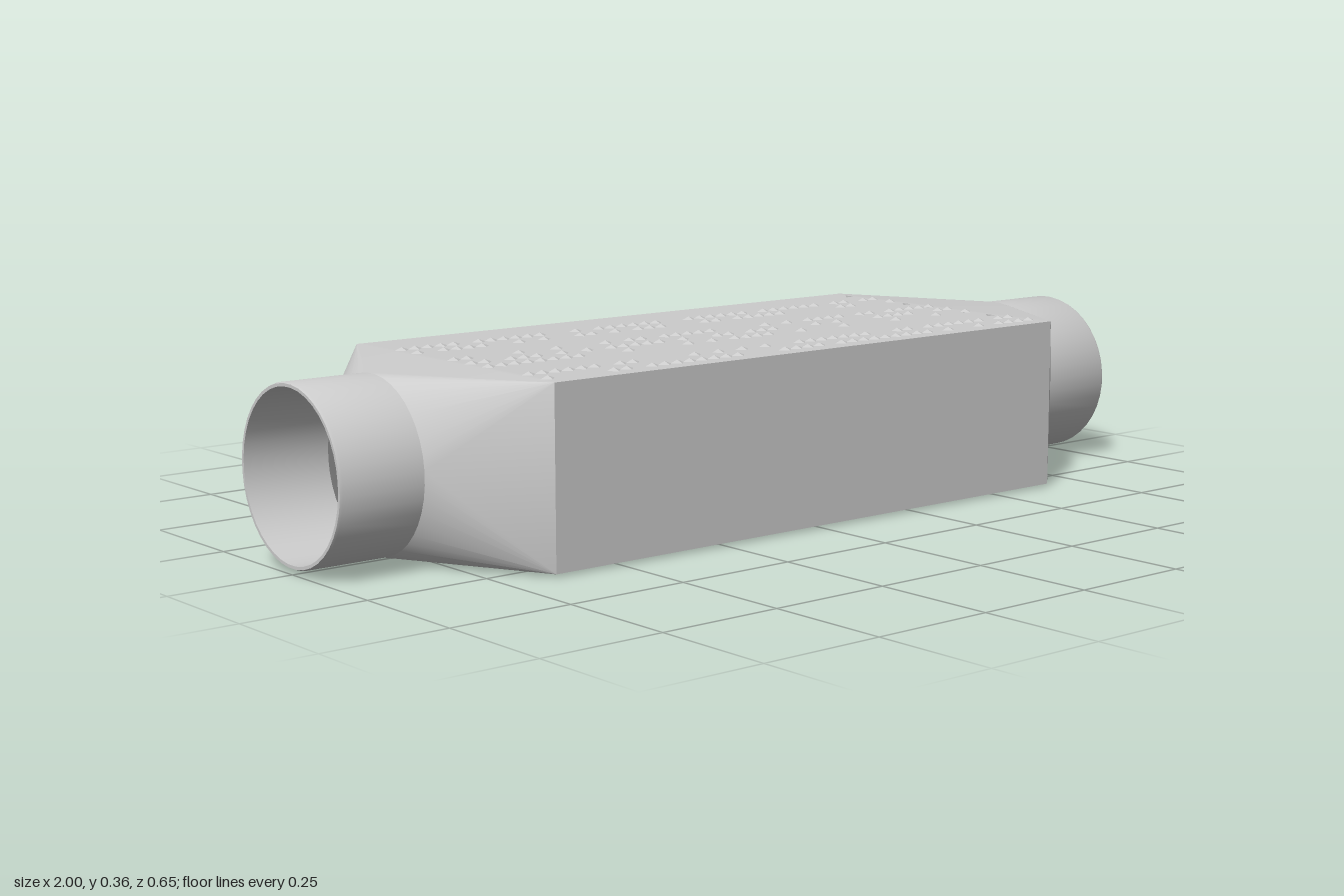
import * as THREE from 'three';
import { mergeGeometries, toCreasedNormals } from 'three/addons/utils/BufferGeometryUtils.js';

const CY = 0.18, HH = 0.174, HZ = 0.325, CORE = 0.635, BOX = 0.65, R = 0.171;
const GROOVES = [-0.275, -0.09, -0.018, 0.094, 0.165];
const BUMP_ROWS = [
  [-0.195, 0.75], [-0.14, 0.6], [-0.018, 0.5], [0.04, 0.6], [0.094, 0.4], [0.22, 0.65], [0.278, 0.7],
];

function seeded(seed) {
  return () => (seed = (seed * 16807) % 2147483647) / 2147483647;
}

// Quad strip between successive rings of equal length
function loft(rings) {
  const pos = [];
  for (let i = 0; i < rings.length - 1; i++) {
    const n = rings[i].length;
    for (let j = 0; j < n; j++) {
      const k = (j + 1) % n;
      const [a, b, c, d] = [rings[i][j], rings[i][k], rings[i + 1][k], rings[i + 1][j]];
      for (const t of [[a, b, c], [a, c, d]]) {
        const [p, q, r] = t;
        const area = new THREE.Vector3().subVectors(q, p).cross(new THREE.Vector3().subVectors(r, p)).length();
        if (area > 1e-7) t.forEach(v => pos.push(v.x, v.y, v.z));
      }
    }
  }
  const g = new THREE.BufferGeometry();
  g.setAttribute('position', new THREE.Float32BufferAttribute(pos, 3));
  return toCreasedNormals(g, 0.5);
}

// Rings around the x axis, first half step off the axes so each arc belongs to one corner
const N = 40;
const ring = fn => Array.from({ length: N }, (_, i) => {
  const t = ((i + 0.5) / N) * Math.PI * 2;
  return fn(Math.cos(t), Math.sin(t));
});
const rect = (x, s = 1) => ring((c, s2) =>
  new THREE.Vector3(x, CY + Math.sign(s2) * HH * s, -Math.sign(c) * HZ * s));
const circle = (x, r) => ring((c, s) => new THREE.Vector3(x, CY + s * r, -c * r));

export function createModel() {
  const group = new THREE.Group();
  const metal = new THREE.MeshStandardMaterial({ color: 0xcccccc });
  metal.name = 'brushed grey metal';
  metal.side = THREE.DoubleSide;
  const add = (geometry, name, parent = group) => {
    const m = new THREE.Mesh(geometry, metal);
    m.name = name;
    parent.add(m);
    return m;
  };

  // Box sleeve with lengthwise V grooves on top and underside
  const edge = (sign, rows) => rows.flatMap(z => [
    [z - sign * 0.014, CY + sign * HH],
    [z, CY + sign * (HH - 0.012)],
    [z + sign * 0.014, CY + sign * HH],
  ]);
  const rows = GROOVES.map(z => -z).sort((a, b) => a - b);
  const pts = [
    [-HZ, CY + HH], ...edge(1, rows), [HZ, CY + HH],
    [HZ, CY - HH], ...edge(-1, [...rows].reverse()), [-HZ, CY - HH],
  ];
  const profile = new THREE.Shape(pts.map(p => new THREE.Vector2(...p)));
  const iz = HZ - 0.02, iy = HH - 0.016;
  profile.holes.push(new THREE.Path(
    [[-iz, -iy], [iz, -iy], [iz, iy], [-iz, iy]].map(([a, b]) => new THREE.Vector2(a, CY + b))));
  const sleeve = new THREE.ExtrudeGeometry(profile, { depth: CORE * 2, bevelEnabled: false });
  sleeve.translate(0, 0, -CORE).rotateY(Math.PI / 2);
  add(sleeve, 'groovedSleeve');

  // Pleated inner core, as a plan outline raised to the inner height
  const pleats = [
    [0.6, 0.305], [0.63, 0.225], [0.57, 0.195], [0.62, 0.135], [0.63, 0.045], [0.55, 0.01],
    [0.59, -0.045], [0.63, -0.1], [0.57, -0.118], [0.6, -0.165], [0.63, -0.23], [0.57, -0.25], [0.6, -0.305],
  ];
  const plan = new THREE.Shape([...pleats, ...pleats.map(([x, z]) => [-x, -z])]
    .map(([x, z]) => new THREE.Vector2(x, -z)));
  const core = new THREE.ExtrudeGeometry(plan, { depth: iy * 2, bevelEnabled: false });
  core.rotateX(-Math.PI / 2).translate(0, CY - iy, 0);
  add(core, 'pleatedCore');

  // Small faceted studs along the rows, top and underside
  const random = seeded(71);
  const studs = [];
  for (const sign of [1, -1]) {
    for (const [z, density] of BUMP_ROWS) {
      for (let i = 0; i <= 42; i++) {
        const end = i === 0 || i === 42;
        if (!end && random() > density) continue;
        const stud = new THREE.ConeGeometry(0.016, 0.006, 4, 1, true).toNonIndexed();
        stud.translate(0, 0.003, 0);
        if (sign < 0) stud.rotateX(Math.PI);
        stud.translate(-0.63 + i * 0.03, CY + sign * HH, z);
        stud.computeVertexNormals();
        studs.push(stud);
      }
    }
  }
  add(mergeGeometries(studs), 'surfaceStuds');

  // Square-to-round end tank and pipe, repeated at both ends
  const tank = loft([rect(CORE, 0.9), rect(CORE), rect(BOX), circle(0.825, R)]);
  const pipe = loft([
    circle(0.82, R), circle(0.995, R), circle(1, R - 0.002),
    circle(1, R - 0.008), circle(0.82, R - 0.008),
  ]);
  for (const side of ['left', 'right']) {
    const end = new THREE.Group();
    end.name = side + 'End';
    if (side === 'right') end.rotation.y = Math.PI;
    add(tank, side + 'Transition', end);
    add(pipe, side + 'Pipe', end);
    group.add(end);
  }
  return group;
}
